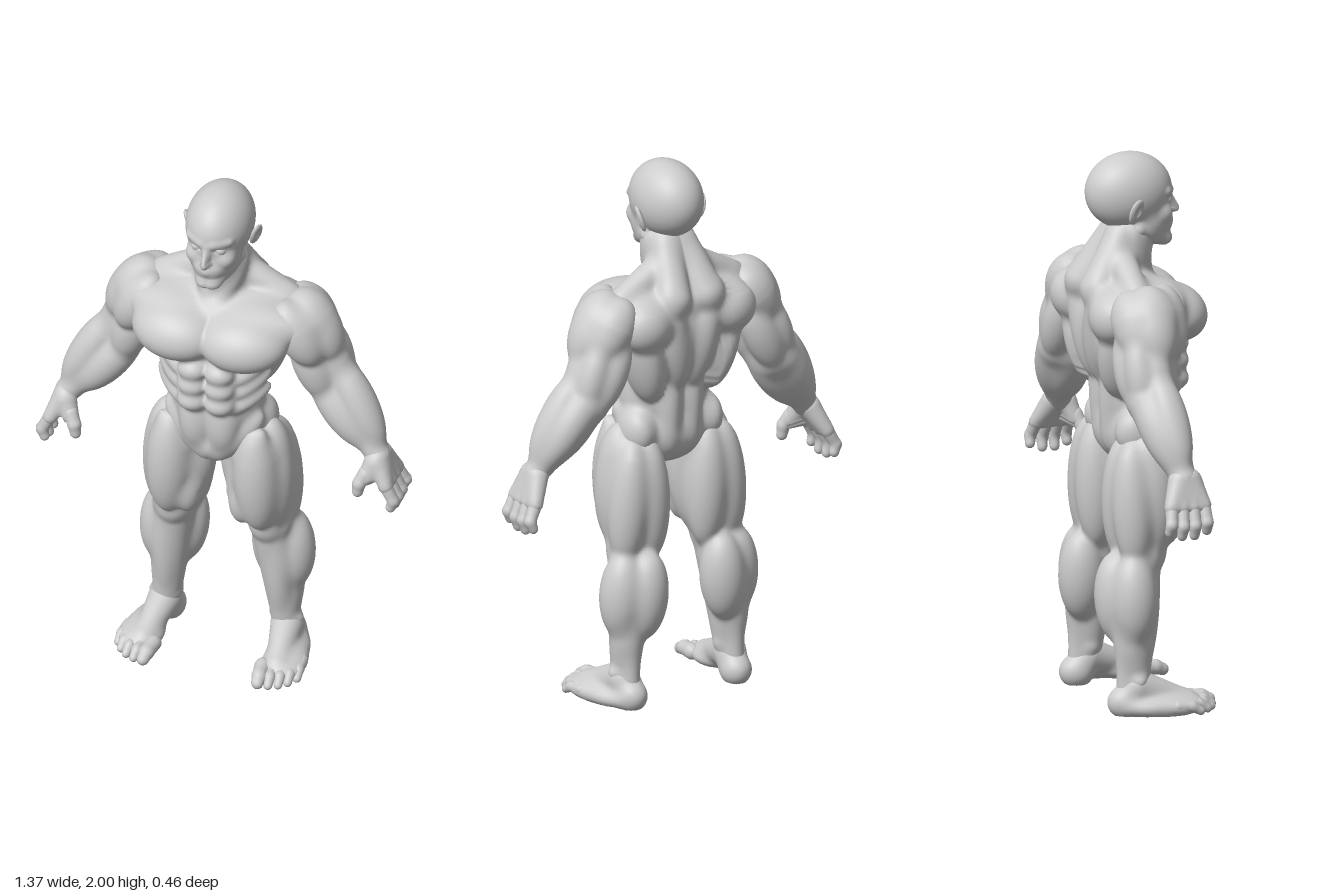
import * as THREE from 'three';
import { mergeVertices } from 'three/addons/utils/BufferGeometryUtils.js';

const V = (a) => new THREE.Vector3(...a);
const skin = new THREE.MeshStandardMaterial({ color: 0xcccccc });
skin.name = 'plain grey';

// ---- muscle volumes: each returns a distance function ----
function ellipsoid(c, r, q) {
  const inv = q.clone().invert(), p = new THREE.Vector3();
  return (x, y, z) => {
    p.set(x - c[0], y - c[1], z - c[2]).applyQuaternion(inv);
    const a = p.x / r[0], b = p.y / r[1], d = p.z / r[2];
    const k0 = Math.hypot(a, b, d), k1 = Math.hypot(a / r[0], b / r[1], d / r[2]);
    return k1 < 1e-6 ? -Math.min(...r) : k0 * (k0 - 1) / k1;
  };
}
const ball = (c, r, rot = []) =>
  ellipsoid(c, r, new THREE.Quaternion().setFromEuler(new THREE.Euler(...rot)));
// Ellipsoid stretched between two points
function spindle(a, b, r) {
  const d = V(b).sub(V(a)), mid = V(a).addScaledVector(d, 0.5).toArray();
  const q = new THREE.Quaternion().setFromUnitVectors(new THREE.Vector3(0, 1, 0), d.clone().normalize());
  return ellipsoid(mid, [r, d.length() / 2 + 0.01, r], q);
}
// Tapered capsule
function bone(a, b, r1, r2) {
  const d = [b[0] - a[0], b[1] - a[1], b[2] - a[2]], l2 = d[0] ** 2 + d[1] ** 2 + d[2] ** 2;
  return (x, y, z) => {
    const px = x - a[0], py = y - a[1], pz = z - a[2];
    const h = Math.min(1, Math.max(0, (px * d[0] + py * d[1] + pz * d[2]) / l2));
    return Math.hypot(px - d[0] * h, py - d[1] * h, pz - d[2] * h) - (r1 + (r2 - r1) * h);
  };
}

// Capsule-like grid around the axis a-b whose vertices are pushed out to the blended muscles
function sculpt(a, b, muscles, { k = 0.018, seg = 56, rows = 26, cap = 10, reach = 0.3, sym = false, cuts = [], floor = -1 } = {}) {
  const field = (x, y, z) => {
    if (sym) x = Math.abs(x);
    let d = 1;
    for (const m of muscles) {
      const e = m(x, y, z), h = Math.max(k - Math.abs(d - e), 0) / k;
      d = Math.min(d, e) - h * h * k / 4;
    }
    for (const c of cuts) d = Math.max(d, -c(x, y, z));
    return d;
  };
  const A = V(a), B = V(b), w = B.clone().sub(A).normalize();
  const side = Math.abs(w.z) > 0.8 ? new THREE.Vector3(1, 0, 0) : new THREE.Vector3(0, 0, 1);
  const u = new THREE.Vector3().crossVectors(w, side).normalize();
  const v = new THREE.Vector3().crossVectors(w, u);
  const rings = [];
  for (let i = 0; i < cap; i++) rings.push([A, -(1 - i / cap) * Math.PI / 2]);
  for (let i = 0; i <= rows; i++) rings.push([A.clone().lerp(B, i / rows), 0]);
  for (let i = 1; i <= cap; i++) rings.push([B, i / cap * Math.PI / 2]);
  const pos = [], index = [];
  rings.forEach(([o, phi], i) => {
    for (let j = 0; j < seg; j++) {
      const t = j / seg * Math.PI * 2, cp = Math.cos(phi);
      const dir = u.clone().multiplyScalar(Math.cos(t) * cp).addScaledVector(v, Math.sin(t) * cp).addScaledVector(w, Math.sin(phi));
      const at = (s) => field(o.x + dir.x * s, o.y + dir.y * s, o.z + dir.z * s);
      let hi = reach, lo = reach;
      for (let d = at(lo); d > 0 && lo > 0; d = at(lo)) { hi = lo; lo -= Math.max(0.003, d * 0.6); }
      lo = Math.max(lo, 0);
      for (let n = 0; n < 9; n++) { const m = (lo + hi) / 2; if (at(m) > 0) hi = m; else lo = m; }
      pos.push(o.x + dir.x * lo, Math.max(floor, o.y + dir.y * lo), o.z + dir.z * lo);
      if (i < rings.length - 1) {
        const n = (j + 1) % seg, p = i * seg;
        index.push(p + j, p + n, p + seg + j, p + n, p + seg + n, p + seg + j);
      }
    }
  });
  const g = new THREE.BufferGeometry();
  g.setAttribute('position', new THREE.Float32BufferAttribute(pos, 3));
  g.setIndex(index);
  const merged = mergeVertices(g);
  merged.computeVertexNormals();
  return merged;
}

function mirrored(geo) {
  const g = geo.clone(), ix = g.index.array;
  g.scale(-1, 1, 1);
  for (let i = 0; i < ix.length; i += 3) [ix[i], ix[i + 1]] = [ix[i + 1], ix[i]];
  g.computeVertexNormals();
  return g;
}

export function createModel() {
  const model = new THREE.Group();
  model.name = 'muscular figure';
  const add = (name, geo) => {
    const m = new THREE.Mesh(geo, skin);
    m.name = name;
    model.add(m);
  };
  const pair = (name, geo) => { add(name + 'Left', geo); add(name + 'Right', mirrored(geo)); };

  // Torso, neck and pelvis
  const torso = [
    ball([0, 1.37, -0.02], [0.22, 0.23, 0.17]), ball([0, 1.13, 0.015], [0.17, 0.25, 0.135]),
    ball([0, 0.99, 0], [0.175, 0.13, 0.125]), ball([0, 0.945, 0.06], [0.06, 0.07, 0.08]),
    ball([0.125, 1.435, 0.105], [0.165, 0.105, 0.125], [0.3, 0.12, 0]), // chest
    spindle([0.06, 1.51, 0.08], [0.34, 1.47, 0.02], 0.07),
    ball([0.05, 1.06, 0.11], [0.06, 0.12, 0.052]),                      // lower belly
    spindle([0.17, 1.08, 0.05], [0.01, 0.89, 0.09], 0.05),              // groin line
    ball([0.145, 1.01, -0.03], [0.062, 0.09, 0.085]),                   // hip
    ball([0.165, 1.33, -0.09], [0.07, 0.2, 0.1], [0, 0, -0.22]),        // back wings
    ball([0.045, 1.16, -0.095], [0.042, 0.22, 0.045]),                  // spine columns
    spindle([0.03, 1.2, -0.135], [0.1, 1.57, -0.165], 0.055),
    ball([0.18, 1.45, -0.145], [0.1, 0.095, 0.082]),                    // shoulder blades
    ball([0.14, 1.5, -0.05], [0.17, 0.085, 0.13], [0, 0, -0.1]),        // shoulder girdle
    bone([0.04, 1.64, -0.065], [0.24, 1.54, -0.075], 0.055, 0.045),     // neck slope
    bone([0.035, 1.7, -0.055], [0.07, 1.53, -0.155], 0.055, 0.065),
    bone([0, 1.5, -0.07], [0, 1.72, 0], 0.105, 0.09),
    spindle([0.088, 1.72, -0.02], [0.02, 1.55, 0.055], 0.026),
  ];
  for (let i = 0; i < 3; i++) {
    const drop = i * 0.06;
    torso.push(ball([0.05, 1.3 - drop * 1.1, 0.15], [0.055, 0.042, 0.046]));               // belly blocks
    torso.push(spindle([0.1, 1.26 - drop, 0.13], [0.2, 1.34 - drop, 0.045], 0.03));        // rib muscles
  }
  add('torso', sculpt([0, 0.95, 0], [0, 1.52, -0.03], torso, { sym: true, seg: 128, rows: 64, cap: 22, reach: 0.45, k: 0.024 }));

  // Head
  add('head', sculpt([0, 1.79, 0.02], [0, 1.85, 0], [
    ball([0, 1.86, -0.01], [0.12, 0.14, 0.16]), ball([0, 1.765, 0.05], [0.094, 0.115, 0.095]),
    ball([0.012, 1.678, 0.12], [0.033, 0.026, 0.032]),                  // chin
    bone([0.07, 1.73, 0], [0.025, 1.682, 0.108], 0.028, 0.024),         // jaw
    bone([0.022, 1.853, 0.14], [0.075, 1.86, 0.11], 0.01, 0.009),       // brow
    bone([0, 1.84, 0.142], [0, 1.778, 0.168], 0.009, 0.017),            // nose
    ball([0.056, 1.78, 0.098], [0.034, 0.034, 0.036]),                  // cheek
    ball([0, 1.735, 0.118], [0.05, 0.04, 0.036]),
    bone([0, 1.738, 0.148], [0.036, 1.746, 0.128], 0.009, 0.004),       // lips
  ], { sym: true, seg: 104, rows: 22, cap: 30, cuts: [ball([0.045, 1.825, 0.144], [0.024, 0.013, 0.016])] }));
  const eye = mergeVertices(new THREE.SphereGeometry(0.021, 20, 14).deleteAttribute('uv'));
  pair('eye', eye.translate(0.045, 1.824, 0.115));
  const tilt = [0.15, -0.4, -0.25];
  pair('ear', sculpt([0.123, 1.8, -0.026], [0.127, 1.825, -0.03], [ball([0.126, 1.812, -0.03], [0.012, 0.05, 0.03], tilt)],
    { seg: 32, rows: 8, cuts: [ball([0.141, 1.818, -0.022], [0.009, 0.03, 0.016], tilt)] }));

  // Arm from shoulder cap to wrist
  const shoulder = [0.295, 1.47, -0.06], elbow = [0.41, 1.19, -0.095], wrist = [0.582, 0.95, -0.037];
  pair('arm', sculpt(shoulder, wrist, [
    bone(shoulder, elbow, 0.08, 0.075), ball(shoulder, [0.105, 0.105, 0.125]),
    spindle([0.28, 1.57, -0.055], [0.405, 1.32, -0.06], 0.088),
    spindle([0.235, 1.56, 0.02], [0.36, 1.33, 0], 0.078),
    spindle([0.25, 1.55, -0.125], [0.38, 1.34, -0.1], 0.08),
    spindle([0.29, 1.42, -0.025], [0.385, 1.15, -0.05], 0.07),          // biceps
    spindle([0.385, 1.4, -0.07], [0.45, 1.17, -0.075], 0.054),
    spindle([0.27, 1.43, -0.13], [0.39, 1.17, -0.135], 0.066),          // triceps
    spindle([0.36, 1.42, -0.13], [0.435, 1.18, -0.125], 0.056),
    bone(elbow, wrist, 0.08, 0.046),                                    // forearm
    spindle([0.42, 1.3, -0.075], [0.585, 0.99, -0.04], 0.066),
    spindle([0.335, 1.24, -0.075], [0.54, 0.98, -0.04], 0.076),
    spindle([0.4, 1.25, -0.135], [0.57, 0.98, -0.06], 0.066),
  ], { seg: 60, rows: 84 }));

  // Hand: palm, four fingers, thumb
  const small = { seg: 14, rows: 14, cap: 4, k: 0.008, reach: 0.06 };
  const digit = (name, a, b, c, r, extra) =>
    pair(name, sculpt(a, c, [bone(a, b, r, r * 0.88), bone(b, c, r * 0.88, r * 0.75)], { ...small, ...extra }));
  const palm = [bone([0.575, 0.93, -0.005], [0.555, 0.875, 0.015], 0.035, 0.03)];
  for (let i = 0; i < 4; i++) {
    const z = 0.02 - 0.041 * i, tip = 0.755 + 0.008 * (i - 1.4) ** 2, knuckle = [0.63, 0.857, z];
    palm.push(bone([0.588, 0.945, z * 0.4 - 0.02], knuckle, 0.036, 0.027));
    digit('finger' + (i + 1), knuckle, [0.66, tip / 2 + 0.415, z * 1.1], [0.65, tip, z * 1.15], 0.024);
  }
  pair('palm', sculpt(wrist, [0.612, 0.87, -0.04], palm, { seg: 48, rows: 20, reach: 0.16 }));
  digit('thumb', [0.555, 0.895, 0.015], [0.535, 0.855, 0.032], [0.53, 0.82, 0.034], 0.027);

  // Leg
  const hip = [0.14, 0.92, 0], knee = [0.178, 0.57, -0.035], ankle = [0.227, 0.09, -0.078];
  pair('leg', sculpt(hip, ankle, [
    bone(hip, knee, 0.11, 0.078), bone(knee, ankle, 0.075, 0.05),
    spindle([0.19, 1.03, 0], [0.205, 0.59, 0.015], 0.083),              // front thigh
    spindle([0.155, 1.03, 0.08], [0.172, 0.6, 0.06], 0.083),
    ball([0.105, 0.69, 0.045], [0.052, 0.095, 0.06]),
    spindle([0.05, 0.99, 0.02], [0.12, 0.58, -0.02], 0.068),            // inner thigh
    spindle([0.19, 1.03, 0.085], [0.06, 0.72, 0.055], 0.034),
    spindle([0.13, 0.98, -0.085], [0.12, 0.54, -0.08], 0.075),          // back thigh
    spindle([0.19, 0.98, -0.08], [0.225, 0.54, -0.075], 0.074),
    ball([0.175, 0.575, 0.012], [0.05, 0.06, 0.045]),                   // kneecap
    spindle([0.235, 0.575, -0.09], [0.25, 0.27, -0.085], 0.083),        // calf
    spindle([0.155, 0.57, -0.125], [0.18, 0.26, -0.115], 0.083),
    spindle([0.215, 0.44, -0.1], [0.23, 0.14, -0.085], 0.062),
    spindle([0.215, 0.52, -0.015], [0.215, 0.2, -0.035], 0.038),
    bone([0.222, 0.3, -0.115], [0.226, 0.06, -0.115], 0.028, 0.03),     // heel tendon
    ball([0.229, 0.132, -0.074], [0.06, 0.026, 0.03], [0, 0, -0.15]),   // ankle knobs
  ], { seg: 64, rows: 84, cap: 9, k: 0.022 }));

  // Foot and toes
  pair('foot', sculpt([0.225, 0.05, -0.11], [0.26, 0.035, 0.1], [
    ball([0.225, 0.045, -0.115], [0.056, 0.06, 0.064]),
    bone([0.23, 0.1, -0.07], [0.25, 0.04, 0.1], 0.06, 0.038),
    ball([0.268, 0.03, 0.075], [0.08, 0.036, 0.095], [0, 0.1, 0]),
    ball([0.285, 0.03, -0.02], [0.045, 0.035, 0.11], [0, 0.2, 0]),
  ], { seg: 48, k: 0.03, floor: 0 }));
  for (let i = 0; i < 5; i++) {
    const x = 0.212 + 0.04 * i - 0.0025 * i * i, z = 0.21 - 0.005 * i * i, r = i ? 0.021 : 0.03;
    digit('toe' + (i + 1), [x - 0.006, 0.036, z - 0.085], [x, 0.033, z - 0.03], [x + 0.003, r * 0.7, z], r, { floor: 0 });
  }
  return model;
}
